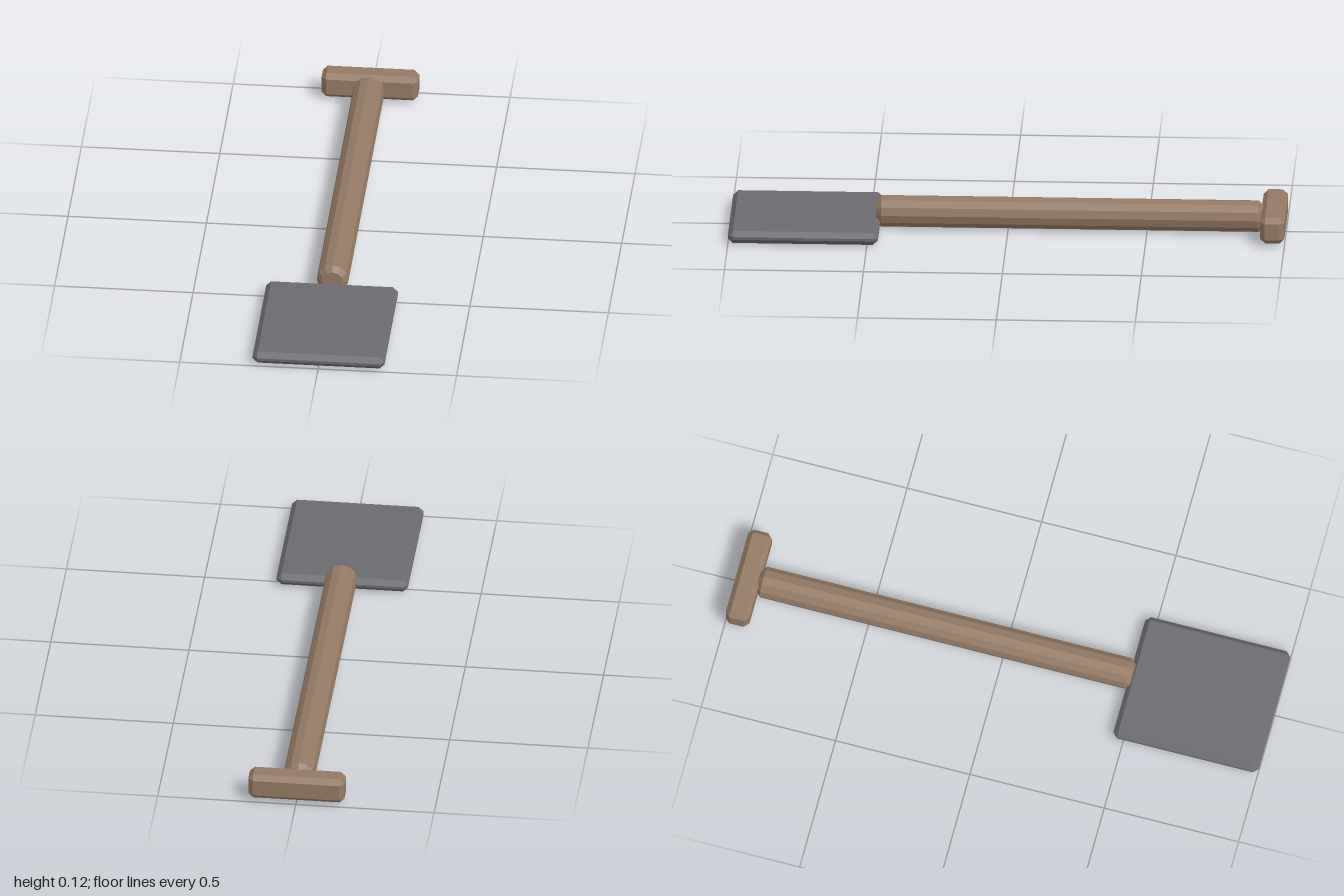
import * as THREE from 'three';
import { ConvexGeometry } from 'three/addons/geometries/ConvexGeometry.js';

const BEVEL = 0.018;

// Box with every edge chamfered: three pulled-in points at each corner
function chamferedBox(w, h, d, b) {
  const points = [];
  for (const sx of [-1, 1]) for (const sy of [-1, 1]) for (const sz of [-1, 1]) {
    const x = w / 2, y = h / 2, z = d / 2;
    points.push(
      new THREE.Vector3(sx * x, sy * (y - b), sz * (z - b)),
      new THREE.Vector3(sx * (x - b), sy * y, sz * (z - b)),
      new THREE.Vector3(sx * (x - b), sy * (y - b), sz * z)
    );
  }
  return new ConvexGeometry(points);
}

// Twelve-sided rod along z with chamfered, closed ends
function chamferedRod(radius, length, b) {
  const h = length / 2;
  const profile = [[0, -h], [radius - b, -h], [radius, -h + b], [radius, h - b], [radius - b, h], [0, h]]
    .map(([x, y]) => new THREE.Vector2(x, y));
  return new THREE.LatheGeometry(profile, 12).rotateX(Math.PI / 2);
}

export function createModel() {
  const model = new THREE.Group();
  model.name = 'shovel';
  const wood = new THREE.MeshStandardMaterial({ color: 0x957a64, flatShading: true });
  const metal = new THREE.MeshStandardMaterial({ color: 0x6a6a6f, flatShading: true });

  const add = (name, geometry, material, y, z) => {
    const mesh = new THREE.Mesh(geometry, material);
    mesh.name = name;
    mesh.position.set(0, y, z);
    model.add(mesh);
  };

  // Flat square blade at the front
  add('blade', chamferedBox(0.476, 0.046, 0.54, BEVEL), metal, 0.027, 0.73);
  // Long shaft resting over the blade's rear edge
  add('shaft', chamferedRod(0.0575, 1.392, BEVEL), wood, 0.0575, -0.222);
  // Crossbar grip at the back
  add('grip', chamferedBox(0.348, 0.097, 0.088, BEVEL), wood, 0.0575, -0.956);

  return model;
}
